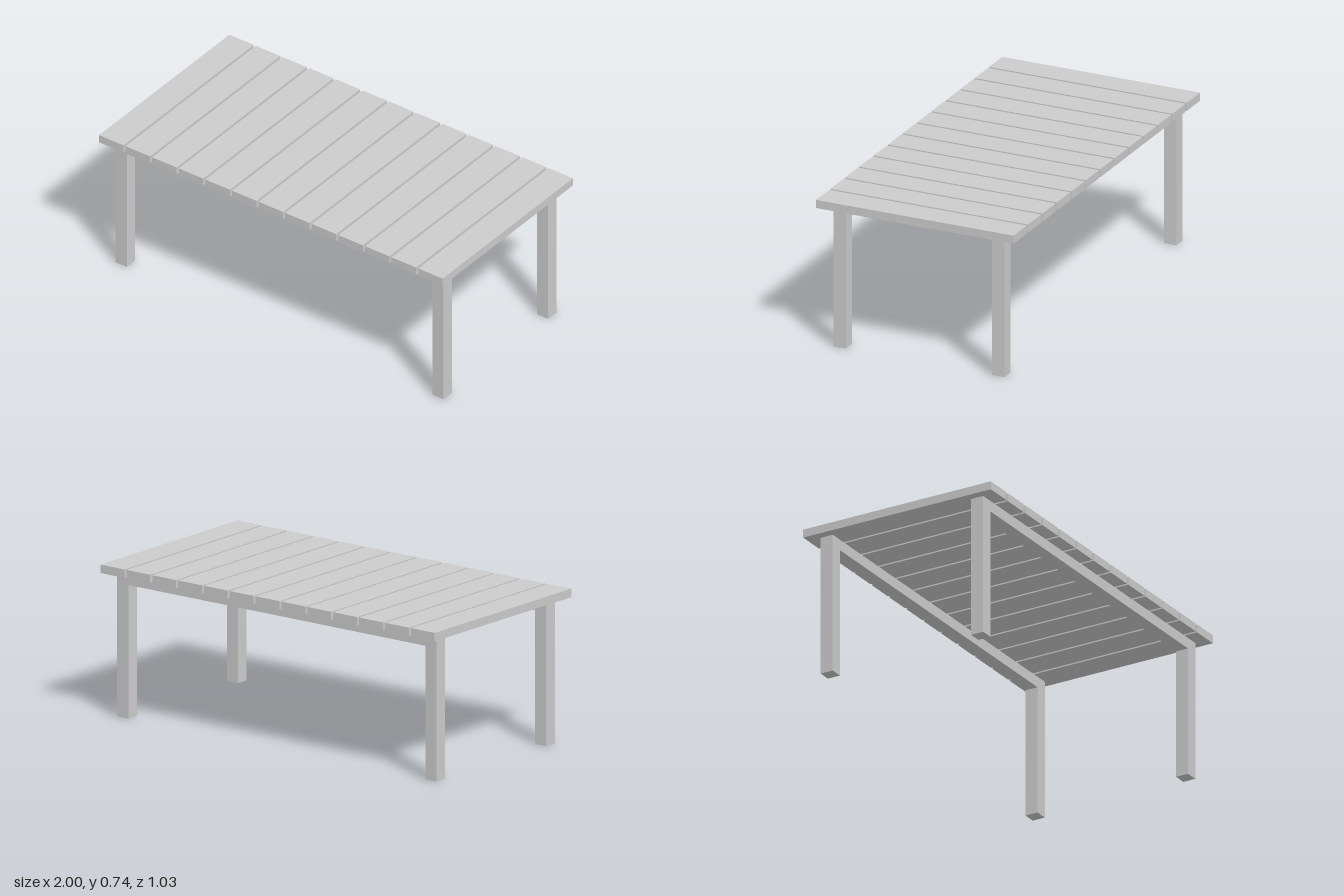
import * as THREE from 'three';

export function createModel() {
  const model = new THREE.Group();
  model.name = 'slattedTable';
  const material = new THREE.MeshStandardMaterial({ color: 0xcccccc });

  // Tabletop: evenly spaced planks running front to back
  const count = 13, plankWidth = 0.142, bottom = 0.702, top = 0.743;
  const pitch = (2 - plankWidth) / (count - 1);
  const plankGeometry = new THREE.BoxGeometry(plankWidth, top - bottom, 1.03);
  const tabletop = new THREE.Group();
  tabletop.name = 'tabletop';
  for (let i = 0; i < count; i++) {
    const plank = new THREE.Mesh(plankGeometry, material);
    plank.name = `plank${i + 1}`;
    plank.position.set((i - (count - 1) / 2) * pitch, (bottom + top) / 2, 0);
    tabletop.add(plank);
  }
  model.add(tabletop);

  // Leg frames: two legs joined by a rail, let slightly into the planks
  const outer = 0.955, inner = 0.889, railBottom = 0.648, railTop = 0.716;
  const outline = new THREE.Shape([
    [-outer, 0], [-inner, 0], [-inner, railBottom], [inner, railBottom],
    [inner, 0], [outer, 0], [outer, railTop], [-outer, railTop],
  ].map(([x, y]) => new THREE.Vector2(x, y)));
  const depth = 0.066;
  const frameGeometry = new THREE.ExtrudeGeometry(outline, { depth, bevelEnabled: false });
  frameGeometry.translate(0, 0, -depth / 2);
  for (const [name, z] of [['frontLegFrame', 0.413], ['backLegFrame', -0.413]]) {
    const frame = new THREE.Mesh(frameGeometry, material);
    frame.name = name;
    frame.position.z = z;
    model.add(frame);
  }

  return model;
}
